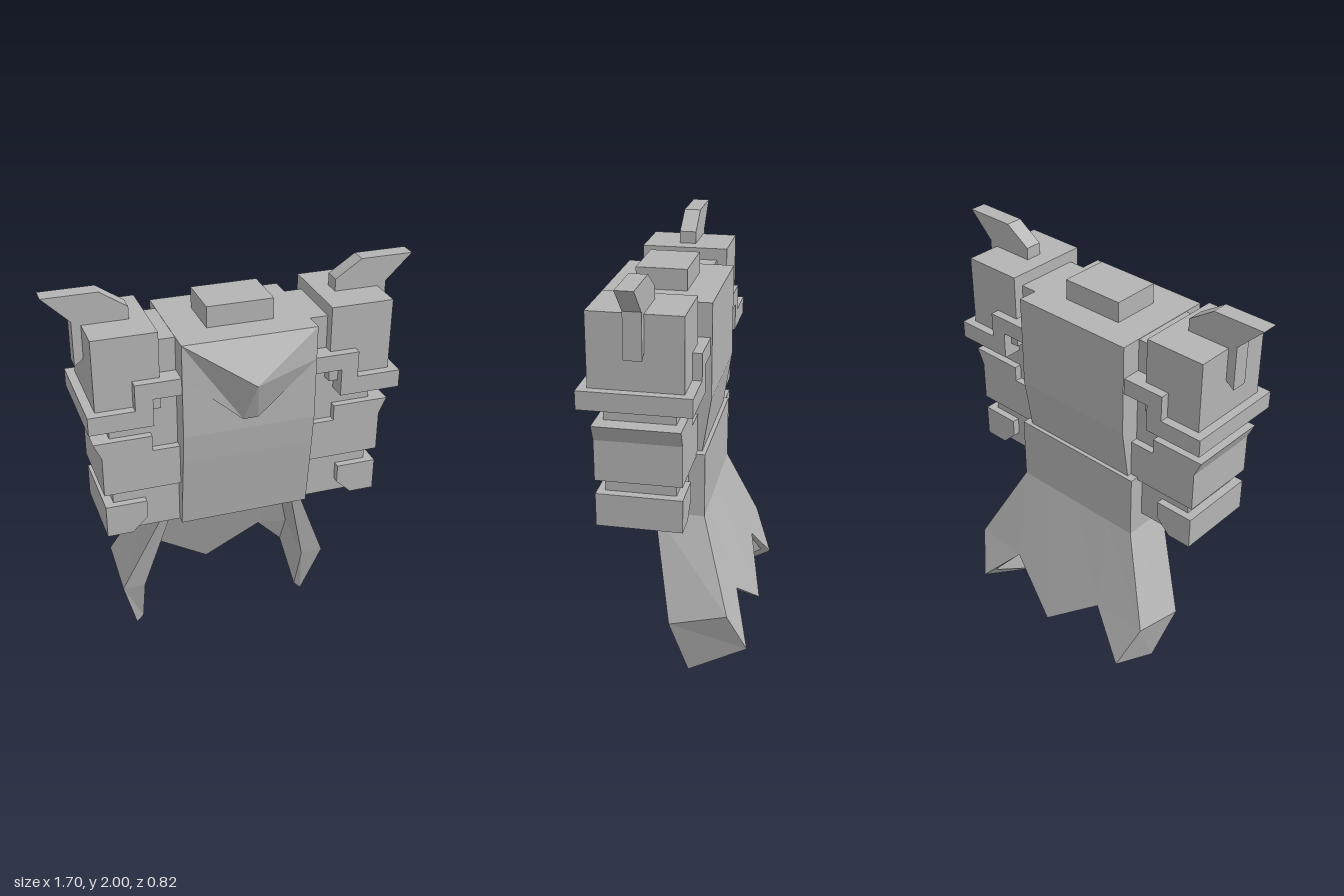
import * as THREE from 'three';

const MID_Z = 0.057; // depth centre of torso and arms

export function createModel() {
  const model = new THREE.Group();
  const grey = new THREE.MeshStandardMaterial({ color: 0xb4b4b4, flatShading: true, side: THREE.DoubleSide });
  grey.name = 'plain grey';

  const add = (name, geometry, parent = model) => {
    const mesh = new THREE.Mesh(geometry, grey);
    mesh.name = name;
    parent.add(mesh);
    return mesh;
  };
  const extrude = (points, depth) => new THREE.ExtrudeGeometry(
    new THREE.Shape(points.map(([x, y]) => new THREE.Vector2(x, y))),
    { depth, bevelEnabled: false });

  // box given by its minimum and maximum on each axis
  const box = (name, [x0, x1], [y0, y1], [z0, z1], parent) =>
    add(name, new THREE.BoxGeometry(Math.abs(x1 - x0), y1 - y0, z1 - z0)
      .translate((x0 + x1) / 2, (y0 + y1) / 2, (z0 + z1) / 2), parent);

  // front outline on side s, extruded through the depth
  const slab = (name, s, points, z0, z1, parent) =>
    add(name, extrude(points.map(([x, y]) => [x * s, y]), z1 - z0).translate(0, 0, z0), parent);

  // polygons with corners counter-clockwise for the +x side, mirrored for s = -1
  const facets = (polygons, s) => {
    const positions = [];
    for (const poly of polygons) {
      const p = poly.map(([x, y, z]) => [x * s, y, z]);
      if (s < 0) p.reverse();
      for (let i = 1; i < p.length - 1; i++) positions.push(...p[0], ...p[i], ...p[i + 1]);
    }
    const g = new THREE.BufferGeometry();
    g.setAttribute('position', new THREE.Float32BufferAttribute(positions, 3));
    g.computeVertexNormals();
    return g;
  };

  // torso: side profile (z, y) extruded across the width
  add('torso', extrude([
    [0.315, 1.805], [0.315, 1.36], [0.30, 1.22], [0.255, 0.868],
    [-0.125, 0.868], [-0.16, 1.1], [-0.2, 1.36], [-0.2, 1.805],
  ], 0.62).rotateY(-Math.PI / 2).translate(0.31, 0, 0));

  box('neck', [-0.155, 0.155], [1.8, 1.903], [MID_Z - 0.117, MID_Z + 0.117]);

  // hip belt: U-shaped band open at the front
  add('hipBelt', extrude([
    [-0.35, -0.055], [-0.35, 0.18], [0.35, 0.18], [0.35, -0.055],
    [0.31, -0.055], [0.31, 0.145], [-0.31, 0.145], [-0.31, -0.055],
  ], 0.315).rotateX(-Math.PI / 2).translate(0, 0.787, 0));

  // skirt corners: capitals outside, lower case inside
  const F0 = [0.35, 0.787, 0.055], F1 = [0.547, 0.305, -0.048], F2 = [0.467, 0.003, -0.127];
  const B0 = [0.35, 0.787, -0.18], B1 = [0.547, 0.378, -0.322], B2 = [0.47, 0.16, -0.41];
  const N0 = [0.2, 0.787, -0.18], N1 = [0.275, 0.37, -0.33];
  const C0 = [0, 0.787, -0.18], C1 = [0, 0.157, -0.41];
  const f0 = [0.31, 0.787, 0.055], f1 = [0.432, 0.305, -0.048], f2 = [0.43, 0.04, -0.13];
  const b0 = [0.31, 0.787, -0.145], b1 = [0.432, 0.36, -0.29], b2 = [0.43, 0.19, -0.365];
  const n0 = [0.2, 0.787, -0.145], n1 = [0.275, 0.37, -0.3];
  const c0 = [0, 0.787, -0.145], c1 = [0, 0.16, -0.38];
  const skirt = [
    [F0, F1, B1, B0], [F1, F2, B2, B1], [B0, B1, N1, N0], [B1, B2, N1], [N0, N1, C1, C0],
    [f0, b0, b1, f1], [f1, b1, b2, f2], [b0, n0, n1, b1], [b1, n1, b2], [n0, c0, c1, n1],
    [f0, f1, F1, F0], [f1, f2, F2, F1], [F2, f2, b2, B2], [B2, b2, n1, N1], [N1, n1, c1, C1],
  ];

  // chest ridge: sloped collar above, folded plate below
  const corner = [0.31, 1.805, 0.315], peak = [0, 1.61, 0.412], tip = [0.035, 1.412, 0.325];
  const side = [0.31, 1.65, 0.315], top = [0, 1.805, 0.315], low = [0, 1.412, 0.325];
  const chest = [[top, peak, corner], [peak, tip, side, corner], [peak, low, tip],
    [low, [0, 1.412, 0.31], [0.035, 1.412, 0.31], tip],
    [tip, [0.035, 1.412, 0.31], [0.31, 1.65, 0.31], side]];

  for (const s of [1, -1]) {
    const label = s > 0 ? 'left' : 'right';
    add(label + 'SkirtHalf', facets(skirt, s));
    add(label + 'ChestPlate', facets(chest, s));

    const arm = new THREE.Group();
    arm.name = label + 'Arm';
    model.add(arm);

    box('armCore', [0.3 * s, 0.622 * s], [0.868, 1.803], [MID_Z - 0.16, MID_Z + 0.16], arm);
    box('shoulderBlock', [0.395 * s, 0.687 * s], [1.5, 1.86], [MID_Z - 0.208, MID_Z + 0.208], arm);

    // stepped band below the shoulder
    slab('shoulderBand', s, [
      [0.305, 1.648], [0.518, 1.648], [0.518, 1.525], [0.728, 1.525],
      [0.728, 1.44], [0.438, 1.44], [0.438, 1.57], [0.305, 1.57],
    ], MID_Z - 0.25, MID_Z + 0.25, arm);

    // flared elbow guard
    slab('elbowGuard', s, [
      [0.305, 1.283], [0.435, 1.283], [0.435, 1.358], [0.702, 1.358],
      [0.667, 1.28], [0.667, 1.088], [0.305, 1.088],
    ], MID_Z - 0.195, MID_Z + 0.195, arm);

    // wrist block with a cut inner corner
    slab('wristBlock', s, [
      [0.472, 1.022], [0.664, 1.022], [0.664, 0.865], [0.545, 0.865], [0.472, 0.935],
    ], MID_Z - 0.195, MID_Z + 0.195, arm);

    // swept shoulder fin reaching down the outer face
    slab('shoulderFin', s, [
      [0.85, 2], [0.602, 2], [0.478, 1.918], [0.478, 1.855], [0.68, 1.855],
      [0.68, 1.71], [0.728, 1.672], [0.728, 1.88],
    ], MID_Z - 0.04, MID_Z + 0.04, arm);
  }
  return model;
}
